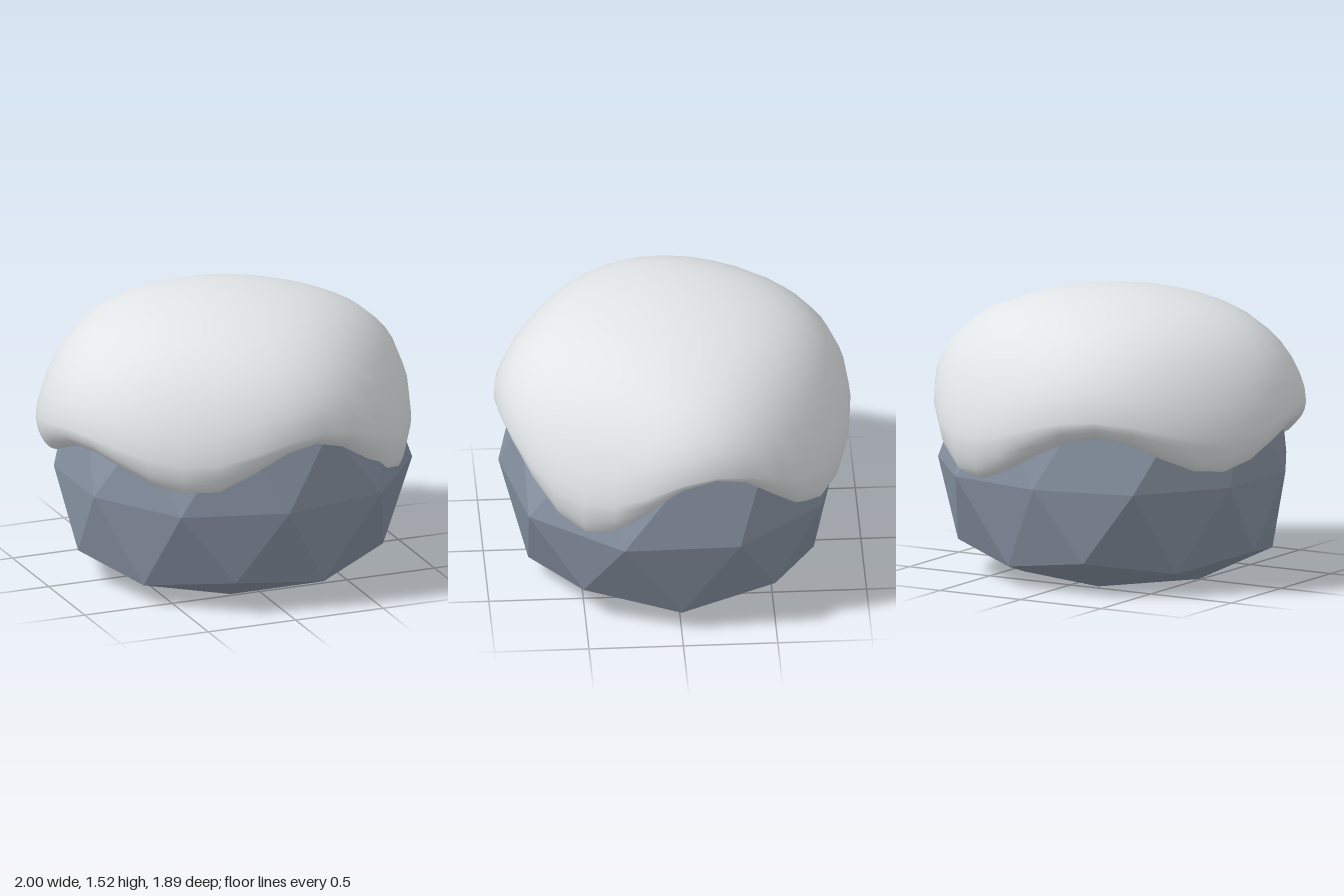
import * as THREE from 'three';
import { mergeVertices } from 'three/addons/utils/BufferGeometryUtils.js';

const DEG = Math.PI / 180;
const MID = 0.57;      // height of the rock's widest ring
const TALL = 0.87;     // rock half height
const DEPTH = 0.945;   // cap depth relative to its width

// rock radius every 18 degrees, from the front (+z) towards +x
const ROCK_RADII = [
  0.92, 0.96, 0.98, 0.97, 1.0, 1.0, 0.99, 0.96, 0.94, 0.91,
  0.88, 0.92, 0.92, 0.92, 0.9, 0.93, 0.9, 0.95, 0.95, 0.96,
];

// peaks and dips of the snow hem: [angle from +z towards +x, height]
const HEM = [
  [10, 0.905], [57, 0.57], [100, 0.965], [150, 0.57], [202, 0.86],
  [245, 0.66], [287, 0.83], [329, 0.67], [370, 0.905],
];

function hemHeight(azimuth) {
  let a = azimuth / DEG;
  while (a < 10) a += 360;
  while (a >= 370) a -= 360;
  const i = HEM.findIndex((p, k) => k < HEM.length - 1 && a < HEM[k + 1][0]);
  const [a0, y0] = HEM[i];
  const [a1, y1] = HEM[i + 1];
  const t = (1 - Math.cos(Math.PI * (a - a0) / (a1 - a0))) / 2;
  return y0 + (y1 - y0) * t;
}

// move every vertex of a geometry by a rule
function deform(geometry, rule) {
  const pos = geometry.attributes.position;
  const v = new THREE.Vector3();
  for (let i = 0; i < pos.count; i++) {
    rule(v.fromBufferAttribute(pos, i));
    pos.setXYZ(i, v.x, v.y, v.z);
  }
  geometry.computeVertexNormals();
  return geometry;
}

// faceted boulder with a flat base
function rockGeometry() {
  const geo = new THREE.IcosahedronGeometry(1, 1);
  geo.rotateZ(Math.atan(2 / (1 + Math.sqrt(5))));  // one corner straight up
  geo.rotateY(Math.PI);
  return deform(geo, (v) => {
    const step = Math.round(Math.atan2(v.x, v.z) / (18 * DEG));
    const r = ROCK_RADII[(step + 20) % 20];
    v.set(v.x * r, Math.max(0, MID + TALL * v.y), v.z * r);
  });
}

// smooth snow dome with a wavy lip that curls under into the rock
function snowGeometry() {
  const sphere = new THREE.SphereGeometry(1, 32, 24);
  sphere.deleteAttribute('normal');
  sphere.deleteAttribute('uv');
  return deform(mergeVertices(sphere, 1e-4), (v) => {
    const theta = Math.acos(THREE.MathUtils.clamp(v.y, -1, 1));
    const az = Math.atan2(v.x, v.z);
    const hem = hemHeight(az);
    const rim = 0.6 * hem + 0.45;   // height of the widest ring
    let r, y;
    if (theta <= Math.PI / 2 + 1e-4) {
      r = Math.sin(theta);
      y = 1.04 + 0.48 * Math.cos(theta) - (1.04 - rim) * r ** 6;
    } else {
      const t = (theta / (Math.PI / 2) - 1) / 0.75;   // 0 at the rim, 1 at the hem
      const inner = 0.95 * Math.sqrt(1 - ((hem - MID) / TALL) ** 2) - 0.04;
      const curl = Math.min(t, 1) * Math.PI / 2;
      r = inner + (1 - inner) * Math.cos(curl);
      y = rim - (rim - hem) * Math.sin(curl);
      if (t > 1.01) {   // hidden underside
        const k = Math.min(1, (t - 1) * 3);
        r *= 1 - k;
        y += (0.8 - y) * k;
      }
    }
    v.set(Math.sin(az) * r, y, Math.cos(az) * r * DEPTH);
  });
}

export function createModel() {
  const stone = new THREE.MeshStandardMaterial({ color: 0x8792a2 });
  stone.name = 'stone';
  const snow = new THREE.MeshStandardMaterial({ color: 0xe8ecee });
  snow.name = 'snow';

  const model = new THREE.Group();
  model.name = 'snowyRock';
  const parts = [['rock', rockGeometry(), stone], ['snowCap', snowGeometry(), snow]];
  for (const [name, geometry, material] of parts) {
    const mesh = new THREE.Mesh(geometry, material);
    mesh.name = name;
    model.add(mesh);
  }
  return model;
}
